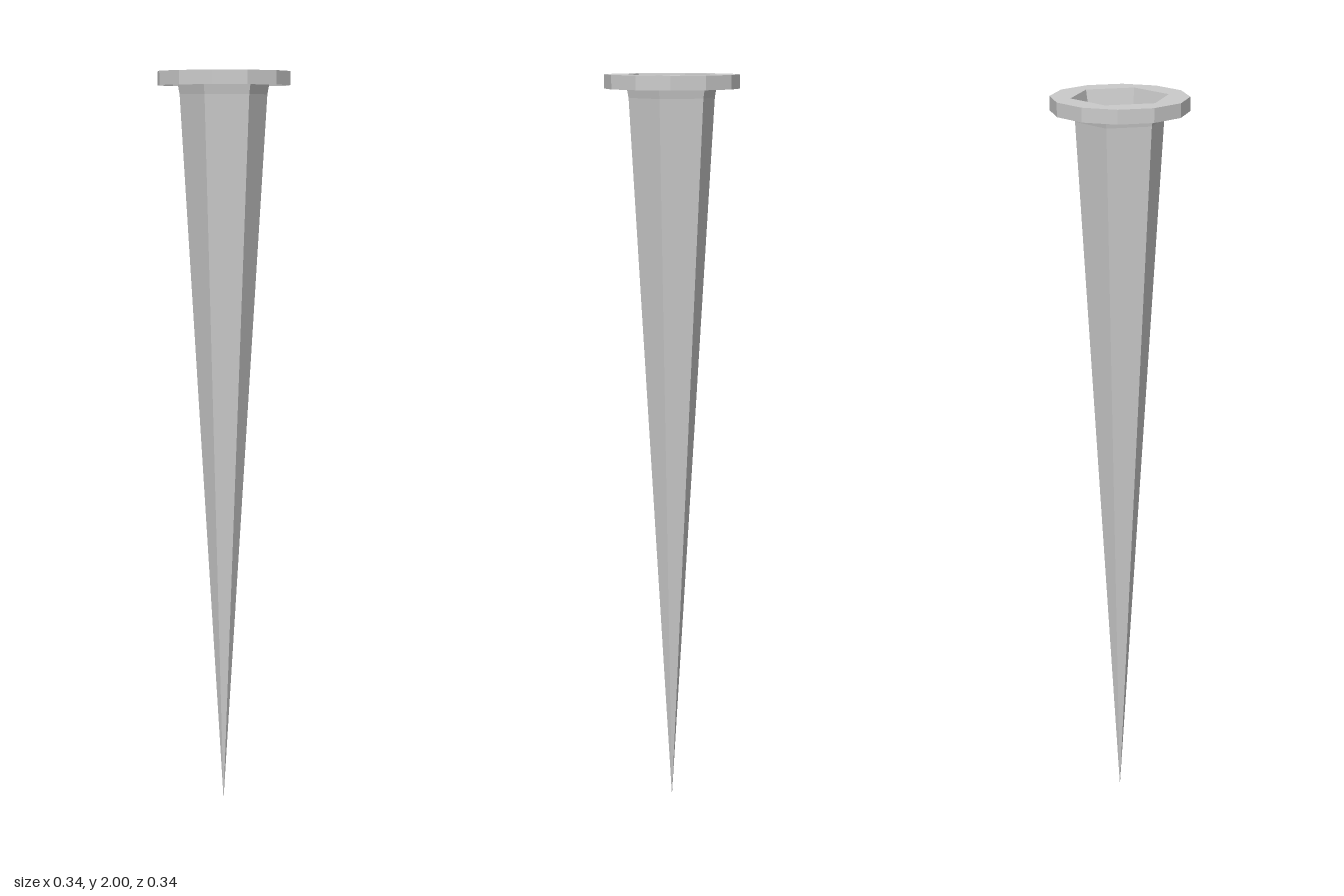
import * as THREE from 'three';

const RIM_R = 0.176, HOLE_R = 0.126, TOP = 2, RIM_H = 0.036;

export function createModel() {
  const group = new THREE.Group();
  const material = new THREE.MeshStandardMaterial({
    color: 0xcccccc, flatShading: true, side: THREE.DoubleSide,
  });
  const add = (name, geometry) => {
    const mesh = new THREE.Mesh(geometry, material);
    mesh.name = name;
    group.add(mesh);
    return mesh;
  };
  // Corners of a regular polygon
  const polygon = (r, sides, offset) => Array.from({ length: sides }, (_, i) => {
    const a = (i / sides) * Math.PI * 2 + offset;
    return new THREE.Vector2(r * Math.sin(a), r * Math.cos(a));
  });
  // Six-sided shell from [radius, height] pairs, with corners at front and back
  const hexShell = (pairs) =>
    new THREE.LatheGeometry(pairs.map(([r, y]) => new THREE.Vector2(r, y)), 6);

  // Tapering hexagonal spike
  add('spike', hexShell([[0, 0], [0.116, 1.957]]));

  // Funnel socket: flared mouth, then a long hollow down to the tip
  add('socket', hexShell([[HOLE_R, TOP], [0.1, 1.86], [0, 0.04]]));

  // Flat twelve-sided collar with a hexagonal opening
  const shape = new THREE.Shape(polygon(RIM_R, 12, Math.PI / 12));
  shape.holes.push(new THREE.Path(polygon(HOLE_R, 6, 0)));
  add('collarTop', new THREE.ShapeGeometry(shape).rotateX(-Math.PI / 2)).position.y = TOP;

  // Collar rim, open underneath
  const rim = new THREE.CylinderGeometry(RIM_R, RIM_R, RIM_H, 12, 1, true);
  add('collarRim', rim.rotateY(Math.PI / 12)).position.y = TOP - RIM_H / 2;

  return group;
}
